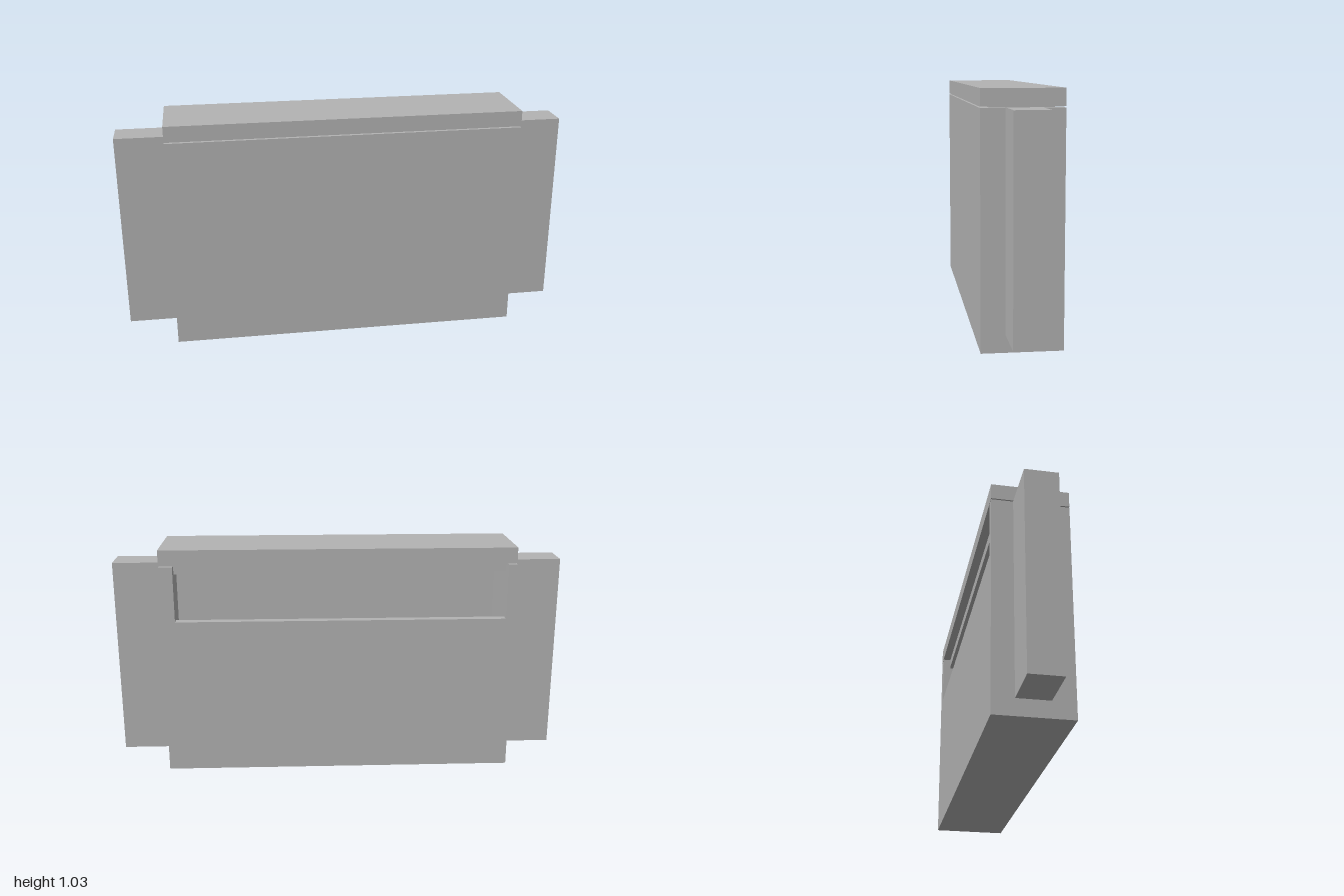
import * as THREE from 'three';

const grey = new THREE.MeshStandardMaterial({ color: 0xb3b3b3 });
grey.name = 'plain grey';

const W = 0.785, D = 0.165, H = 0.955; // half width, half depth and height of the body
const T = 0.0375;                      // wall thickness
const CX = W - T, CZ = D - T;          // half width and half depth of the cavity

function add(parent, name, geometry) {
  const mesh = new THREE.Mesh(geometry, grey);
  mesh.name = name;
  parent.add(mesh);
  return mesh;
}

// Box given by its lower and upper limits on each axis
function box(parent, name, [x0, x1], [y0, y1], [z0, z1]) {
  const mesh = add(parent, name, new THREE.BoxGeometry(x1 - x0, y1 - y0, z1 - z0));
  mesh.position.set((x0 + x1) / 2, (y0 + y1) / 2, (z0 + z1) / 2);
}

// Outline in x and y, extruded along z
function slab(parent, name, points, z0, z1) {
  const shape = new THREE.Shape(points.map(([x, y]) => new THREE.Vector2(x, y)));
  const geometry = new THREE.ExtrudeGeometry(shape, { depth: z1 - z0, bevelEnabled: false });
  add(parent, name, geometry).position.z = z0;
}

// Outer rectangle with an open-topped notch
const notched = (left, right, sill) => [
  [-W, 0], [W, 0], [W, H], [right, H], [right, sill], [left, sill], [left, H], [-W, H],
];

export function createModel() {
  const model = new THREE.Group();
  model.name = 'lidded case';

  // Hollow body: front wall, sides with floor, back wall with a wide notch
  const body = new THREE.Group();
  body.name = 'body';
  model.add(body);
  box(body, 'frontWall', [-W, W], [0, H], [CZ, D]);
  slab(body, 'sidesAndFloor', notched(-CX, CX, T), -CZ, CZ);
  slab(body, 'backWall', notched(-CX, 0.725, 0.707), -D, -CZ);

  // Lid with a plug that drops into the cavity, leaving a fine seam
  const lid = new THREE.Group();
  lid.name = 'lid';
  model.add(lid);
  box(lid, 'lidTop', [-W, W], [0.96, 1.03], [-D, D]);
  box(lid, 'lidPlug', [-CX + 0.001, CX - 0.001], [0.915, 0.96], [-CZ, CZ - 0.001]);

  // Side blocks
  box(model, 'leftBlock', [W, 1], [0.073, 0.957], [-0.073, 0.068]);
  box(model, 'rightBlock', [-1, -W], [0.073, 0.957], [-0.073, 0.068]);

  return model;
}
